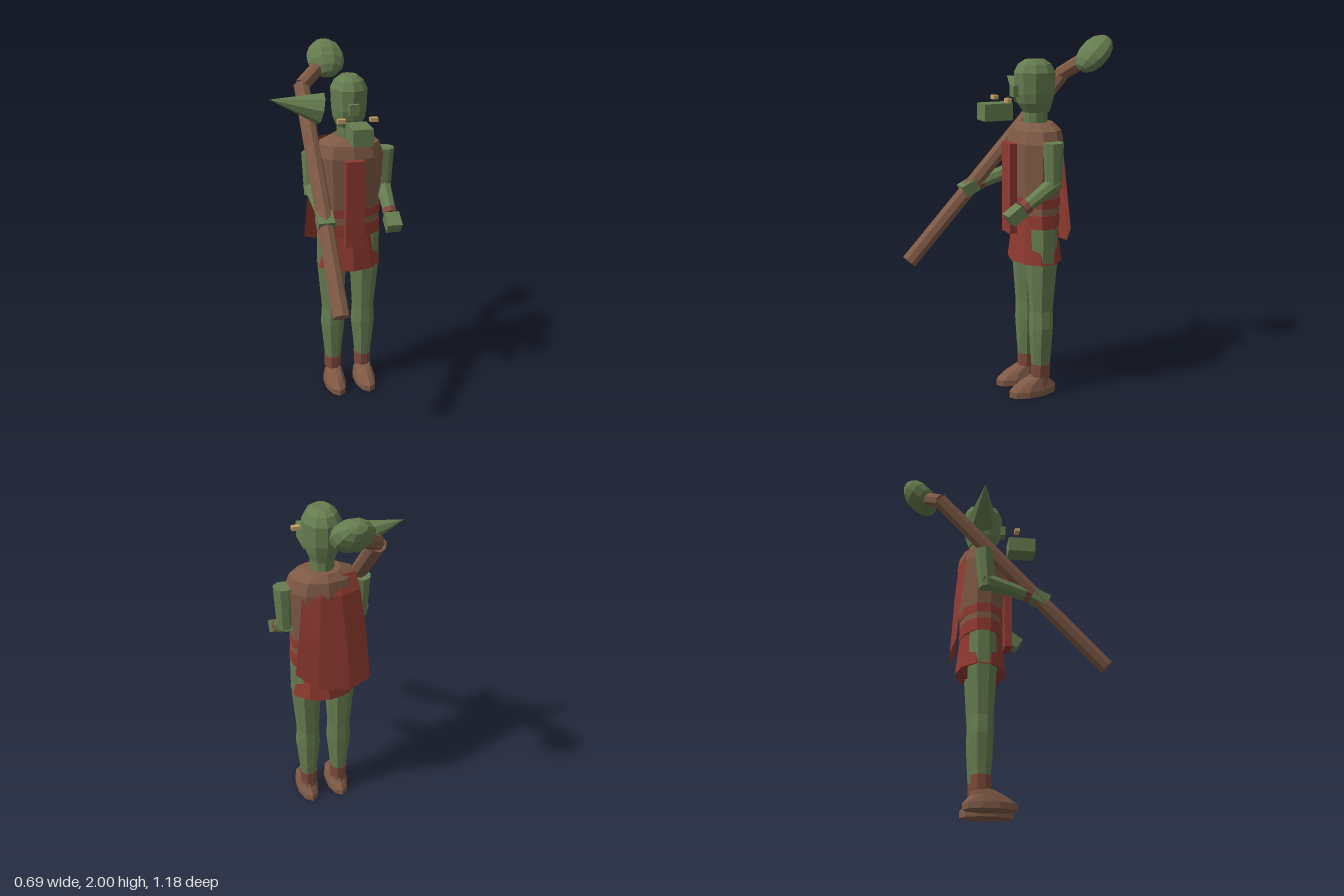
import * as THREE from 'three';

const mat = (name, color, extra = {}) =>
  Object.assign(new THREE.MeshStandardMaterial({ color, flatShading: true, ...extra }), { name });

export function createModel() {
  const skin = mat('green skin', 0x667d50);
  const leather = mat('brown leather', 0x7f5a46);
  const cloth = mat('red cloth', 0x8f3a30, { side: THREE.DoubleSide });
  const wrap = mat('red brown wrap', 0x7d4a3b);
  const gold = mat('gold', 0xc4a263);
  const model = new THREE.Group();
  const CX = 0.085, CZ = -0.11;

  const add = (name, geometry, material) => {
    const mesh = new THREE.Mesh(geometry, material);
    mesh.name = name;
    model.add(mesh);
    return mesh;
  };

  // Closed stack of elliptical rings, bottom to top: [y, rx, rz, dx, dz]
  const loft = (name, material, cx, cz, sides, rings) => {
    const first = rings[0], last = rings[rings.length - 1];
    const all = [[first[0], 0, 0, first[3], first[4]], ...rings, [last[0], 0, 0, last[3], last[4]]];
    const pos = [], index = [];
    all.forEach(([y, rx, rz, dx = 0, dz = 0], r) => {
      for (let i = 0; i < sides; i++) {
        const t = ((i + 0.5) / sides) * Math.PI * 2;
        pos.push(cx + dx + rx * Math.cos(t), y, cz + dz + rz * Math.sin(t));
        if (r === all.length - 1) continue;
        const a = r * sides + i, b = r * sides + (i + 1) % sides;
        index.push(a, a + sides, b, b, a + sides, b + sides);
      }
    });
    const g = new THREE.BufferGeometry();
    g.setAttribute('position', new THREE.Float32BufferAttribute(pos, 3));
    g.setIndex(index);
    g.computeVertexNormals();
    return add(name, g, material);
  };

  // Tapered rod between two points
  const rod = (name, material, from, to, r0, r1, sides = 8) => {
    const a = new THREE.Vector3(...from), b = new THREE.Vector3(...to);
    const d = b.clone().sub(a);
    const mesh = add(name, new THREE.CylinderGeometry(r1, r0, d.length(), sides), material);
    mesh.position.copy(a).add(b).multiplyScalar(0.5);
    mesh.quaternion.setFromUnitVectors(new THREE.Vector3(0, 1, 0), d.normalize());
    return mesh;
  };

  const box = (name, material, size, at) => {
    const mesh = add(name, new THREE.BoxGeometry(...size), material);
    mesh.position.set(...at);
    return mesh;
  };

  // Legs, ankle wraps and shoes
  for (const [side, x, s] of [['left', 0.177, 1], ['right', -0.007, -1]]) {
    loft(side + 'Leg', skin, x, CZ, 8, [
      [0.16, 0.046, 0.052], [0.25, 0.054, 0.06], [0.4, 0.071, 0.068], [0.5, 0.064, 0.066],
      [0.78, 0.085, 0.085, s * 0.005], [0.98, 0.085, 0.08, s * 0.006],
    ]);
    loft(side + 'AnkleWrap', wrap, x, CZ, 8, [[0.1, 0.049, 0.055], [0.18, 0.05, 0.056]]);
    loft(side + 'Shoe', leather, x, -0.06, 10, [
      [0, 0.063, 0.145], [0.035, 0.063, 0.145], [0.075, 0.053, 0.095, 0, -0.01],
      [0.105, 0.045, 0.06, 0, -0.04],
    ]);
  }

  // Skirt, tunic hem, belt and torso
  loft('skirt', cloth, CX, CZ, 10, [[0.78, 0.186, 0.142], [1, 0.15, 0.118]]);
  loft('tunicHem', cloth, CX, CZ, 10, [[0.98, 0.186, 0.122], [1.055, 0.183, 0.122]]);
  loft('belt', leather, CX, CZ, 10, [[1.05, 0.18, 0.122], [1.1, 0.18, 0.122]]);
  loft('waistSash', cloth, CX, CZ, 10, [[1.095, 0.183, 0.126], [1.145, 0.183, 0.126]]);
  loft('torso', leather, CX, CZ, 10, [
    [1.06, 0.175, 0.118], [1.2, 0.184, 0.126], [1.44, 0.2, 0.14],
    [1.51, 0.175, 0.125, 0, -0.005], [1.545, 0.095, 0.09, 0, -0.01],
  ]);
  box('tabard', cloth, [0.105, 0.495, 0.042], [0.083, 1.193, 0.042]);

  // Cape hanging from the shoulders with a ragged lower edge
  const capeRows = [
    [[-0.07, 1.53, -0.18], [0.02, 1.53, -0.205], [0.11, 1.53, -0.205], [0.19, 1.52, -0.18]],
    [[-0.09, 1.44, -0.215], [0.02, 1.43, -0.247], [0.13, 1.44, -0.245], [0.22, 1.42, -0.21]],
    [[-0.12, 1.2, -0.235], [0, 1.2, -0.27], [0.14, 1.2, -0.26], [0.245, 1.2, -0.225]],
    [[-0.14, 0.9, -0.265], [-0.02, 0.86, -0.29], [0.16, 0.88, -0.275], [0.27, 0.98, -0.24]],
  ];
  const cape = new THREE.BufferGeometry();
  const capeIndex = [];
  for (let r = 0; r < 3; r++) for (let c = 0; c < 3; c++) {
    const a = r * 4 + c;
    capeIndex.push(a, a + 1, a + 4, a + 1, a + 5, a + 4);
  }
  cape.setAttribute('position', new THREE.Float32BufferAttribute(capeRows.flat(2), 3));
  cape.setIndex(capeIndex);
  cape.computeVertexNormals();
  add('cape', cape, cloth);

  // Neck, head and face
  loft('neck', skin, CX, CZ, 10, [[1.52, 0.064, 0.068], [1.63, 0.064, 0.068]]);
  loft('head', skin, CX, -0.105, 10, [
    [1.6, 0.068, 0.075, 0, -0.01], [1.65, 0.088, 0.1], [1.7, 0.095, 0.114], [1.81, 0.1, 0.118],
    [1.855, 0.078, 0.095], [1.88, 0.045, 0.055],
  ]);
  box('nose', skin, [0.05, 0.06, 0.045], [0.083, 1.715, 0.008]);
  box('jaw', skin, [0.11, 0.09, 0.16], [0.085, 1.613, 0.127]);
  for (const s of [1, -1]) box('tusk', gold, [0.044, 0.022, 0.028], [0.083 + s * 0.088, 1.678, 0.09]);
  rod('rightEar', skin, [-0.065, 1.697, -0.125], [-0.345, 1.76, -0.135], 0.088, 0);

  // Left arm, bent forward
  rod('leftUpperArm', skin, [0.295, 1.46, -0.115], [0.292, 1.22, -0.12], 0.055, 0.045);
  rod('leftForearm', skin, [0.292, 1.25, -0.14], [0.287, 1.12, 0.05], 0.047, 0.036);
  rod('leftWristWrap', wrap, [0.287, 1.135, 0.025], [0.287, 1.117, 0.055], 0.042, 0.04);
  box('leftHand', skin, [0.083, 0.067, 0.092], [0.286, 1.09, 0.1]).rotation.x = 0.6;

  // Right arm, reaching forward to the staff
  rod('rightUpperArm', skin, [-0.125, 1.46, -0.115], [-0.125, 1.22, -0.1], 0.055, 0.045);
  rod('rightForearm', skin, [-0.125, 1.27, -0.12], [-0.12, 1.18, 0.17], 0.047, 0.036);
  rod('rightWristWrap', wrap, [-0.12, 1.195, 0.12], [-0.12, 1.185, 0.15], 0.042, 0.04);
  box('rightHand', skin, [0.088, 0.067, 0.092], [-0.12, 1.17, 0.2]).rotation.x = 0.45;

  // Staff with a crooked end and a knob
  rod('staff', leather, [-0.12, 0.78, 0.56], [-0.12, 1.775, -0.375], 0.045, 0.045);
  rod('staffCrook', leather, [-0.12, 1.775, -0.365], [0.04, 1.89, -0.475], 0.042, 0.042);
  const knob = add('staffKnob', new THREE.SphereGeometry(1, 10, 7), skin);
  knob.scale.set(0.11, 0.124, 0.076);
  knob.rotation.x = -Math.PI / 4;
  knob.position.set(0.045, 1.897, -0.488);

  return model;
}
